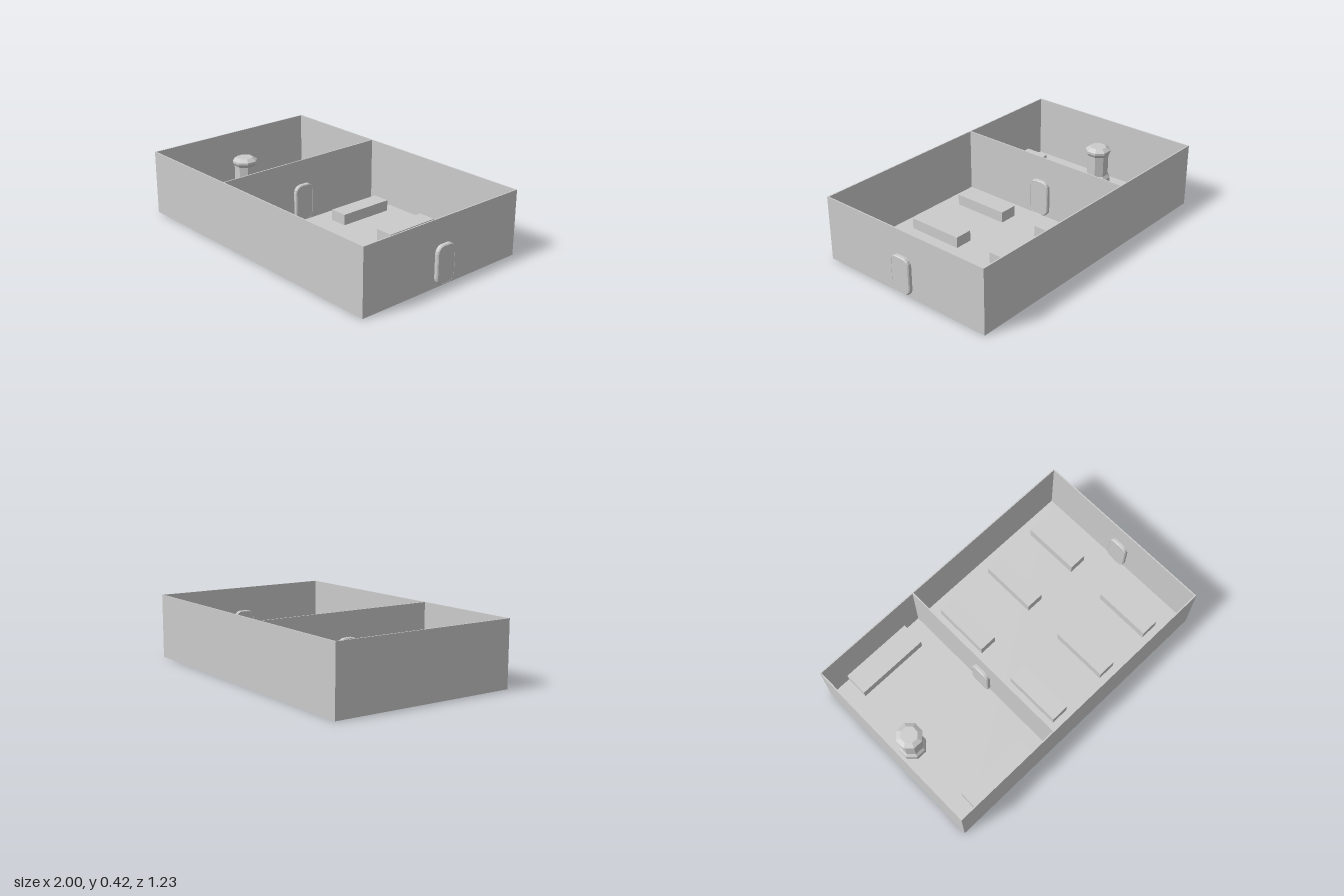
import * as THREE from 'three';

const H = 0.42, D = 0.615, T = 0.008;
const X0 = -1, X1 = 0.975, PART_X = -0.255;

export function createModel() {
  const group = new THREE.Group();
  const mat = new THREE.MeshStandardMaterial({ color: 0xcccccc, flatShading: true });

  const add = (name, geo, x = 0, y = 0, z = 0) => {
    const m = new THREE.Mesh(geo, mat);
    m.name = name;
    m.position.set(x, y, z);
    group.add(m);
    return m;
  };
  // box given by its extents on each axis
  const box = (name, x0, x1, y0, y1, z0, z1) =>
    add(name, new THREE.BoxGeometry(x1 - x0, y1 - y0, z1 - z0),
      (x0 + x1) / 2, (y0 + y1) / 2, (z0 + z1) / 2);

  // rounded doorway outline, drawn into a Shape or a Path
  const outline = (p, hw, y0, y1, r) => {
    p.moveTo(-hw + r, y0);
    p.lineTo(hw - r, y0);
    p.absarc(hw - r, y0 + r, r, -Math.PI / 2, 0);
    p.absarc(hw - r, y1 - r, r, 0, Math.PI / 2);
    p.absarc(-hw + r, y1 - r, r, Math.PI / 2, Math.PI);
    p.absarc(-hw + r, y0 + r, r, Math.PI, Math.PI * 1.5);
    return p;
  };
  const hole = () => outline(new THREE.Path(), 0.06, 0.03, 0.25, 0.038);
  // extrude along x, centred on the given x
  const extrudeX = (name, shape, depth, x, bevel = 0) => {
    const g = new THREE.ExtrudeGeometry(shape, {
      depth: depth - 2 * bevel, curveSegments: 2, bevelEnabled: bevel > 0,
      bevelThickness: bevel, bevelSize: bevel, bevelOffset: -bevel, bevelSegments: 1,
    });
    g.translate(0, 0, -depth / 2 + bevel).rotateY(Math.PI / 2);
    add(name, g, x);
  };

  // shell: floor and plain walls
  box('floor', X0, X1, 0, T, -D, D);
  box('frontWall', X0, X1, 0, H, D - T, D);
  box('backWall', X0, X1, 0, H, -D, -D + T);
  box('rightWall', X0, X0 + T, 0, H, -D, D);

  // walls with a doorway, each with a raised frame
  for (const [name, x] of [['partition', PART_X], ['leftWall', X1 - T / 2]]) {
    const wall = new THREE.Shape([[-D, 0], [D, 0], [D, H], [-D, H]]
      .map(([a, b]) => new THREE.Vector2(a, b)));
    wall.holes.push(hole());
    extrudeX(name, wall, T, x);
    const frame = outline(new THREE.Shape(), 0.07, 0.02, 0.26, 0.045);
    frame.holes.push(hole());
    extrudeX(name + 'DoorFrame', frame, 0.055, name === 'partition' ? x : 0.9725, 0.006);
  }

  // two rows of low tables in the large room
  for (const x of [-0.07, 0.35, 0.745]) {
    box('backTable', x - 0.06, x + 0.06, T / 2, 0.08, -0.525, -0.145);
    box('frontTable', x - 0.06, x + 0.06, T / 2, 0.08, 0.12, 0.5);
  }

  // side benches in the small room
  box('backBench', -0.855, -0.37, T / 2, 0.08, -D + T / 2, -0.45);
  box('frontBench', -0.855, -0.37, T / 2, 0.08, 0.44, D - T / 2);

  // eight-sided pedestal: wide foot, shaft and chamfered cap
  const profile = [[0, T / 2], [0.088, T / 2], [0.088, 0.06], [0.073, 0.08],
    [0.073, 0.225], [0.085, 0.245], [0.085, 0.26], [0.055, 0.28], [0, 0.28]]
    .map(([r, y]) => new THREE.Vector2(r, y));
  add('pedestal', new THREE.LatheGeometry(profile, 8, Math.PI / 8), -0.86, 0, 0);

  return group;
}
